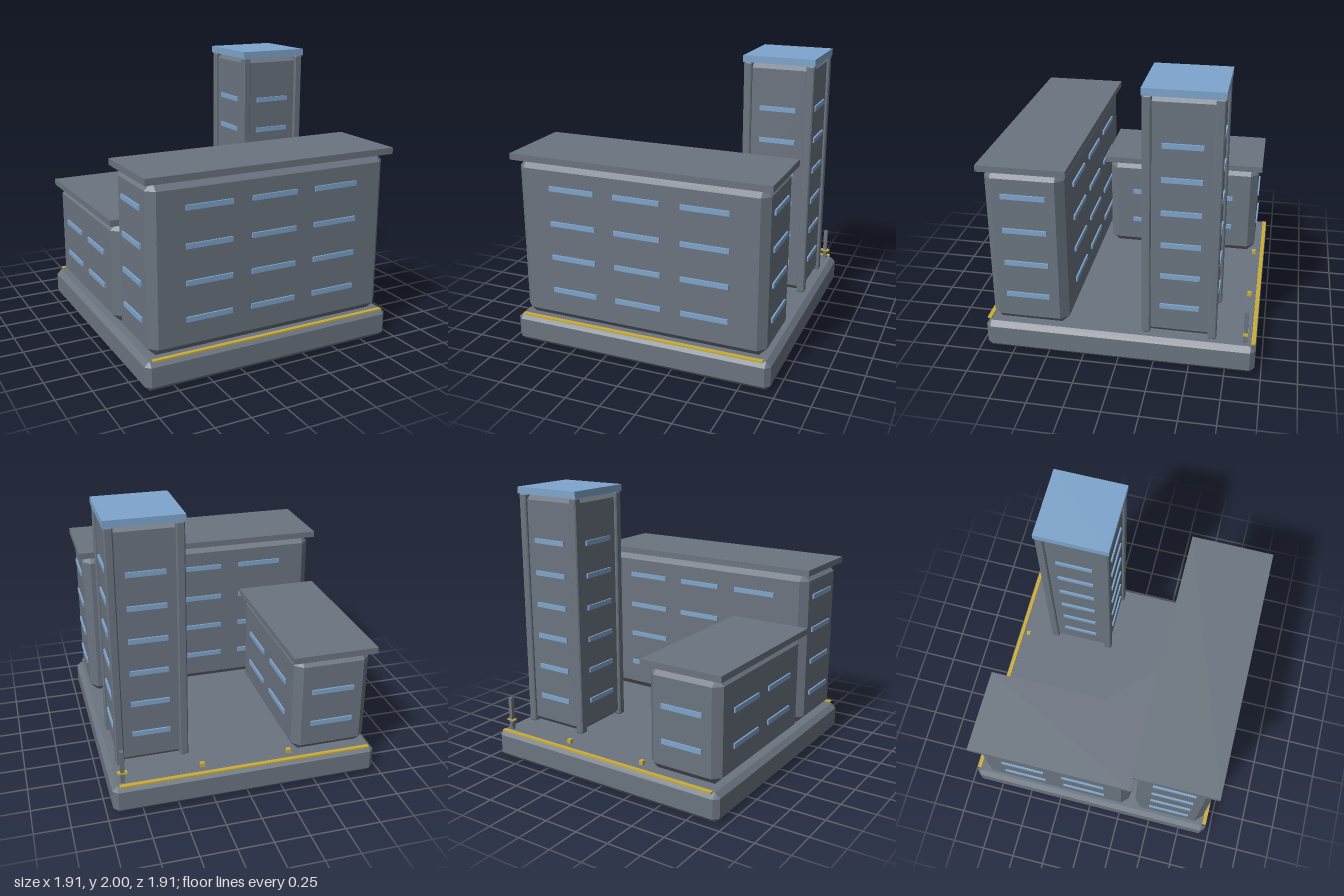
import * as THREE from 'three';
import { ConvexGeometry } from 'three/addons/geometries/ConvexGeometry.js';

const concrete = new THREE.MeshStandardMaterial({ color: 0x6b7480 });
concrete.name = 'grey concrete';
const glass = new THREE.MeshStandardMaterial({ color: 0x7ea5cd });
glass.name = 'blue glass';
const gold = new THREE.MeshStandardMaterial({ color: 0xc8ad3a });
gold.name = 'gold trim';

// Box whose edges are all cut at 45 degrees
function chamferBox(w, h, d, c) {
  const pts = [];
  for (const x of [-1, 1]) for (const y of [-1, 1]) for (const z of [-1, 1]) {
    for (let i = 0; i < 3; i++) {
      pts.push(new THREE.Vector3(
        x * (w / 2 - (i === 0 ? 0 : c)),
        y * (h / 2 - (i === 1 ? 0 : c)),
        z * (d / 2 - (i === 2 ? 0 : c))));
    }
  }
  return new ConvexGeometry(pts);
}

// Adds a block standing on y0; chamfer 0 gives a plain box
function block(parent, name, mat, [w, h, d], [x, y0, z], chamfer = 0) {
  const geo = chamfer ? chamferBox(w, h, d, chamfer) : new THREE.BoxGeometry(w, h, d);
  const mesh = new THREE.Mesh(geo, mat);
  mesh.name = name;
  mesh.position.set(x, y0 + h / 2, z);
  parent.add(mesh);
  return mesh;
}

// Rows of window bands on all four faces of a w x d building
function windows(parent, w, d, rows, colsX, colsZ) {
  const group = new THREE.Group();
  group.name = 'windows';
  const face = (len, cols, place) => {
    for (const y of rows) for (let i = 0; i < cols; i++) for (const side of [-1, 1]) {
      place(len * 0.56 / cols, y - 0.0175, (i - (cols - 1) / 2) * len * 0.8 / cols, side);
    }
  };
  face(w, colsX, (len, y, t, s) => block(group, 'window', glass, [len, 0.035, 0.024], [t, y, s * d / 2]));
  face(d, colsZ, (len, y, t, s) => block(group, 'window', glass, [0.024, 0.035, len], [s * w / 2, y, t]));
  parent.add(group);
}

// Chamfered building with a flat overhanging roof and windows
function building(name, w, d, x, z, top, rows, colsX, colsZ) {
  const g = new THREE.Group();
  g.name = name;
  g.position.set(x, 0, z);
  block(g, 'walls', concrete, [w, top - 0.21, d], [0, 0.21, 0], 0.055);
  block(g, 'roof', concrete, [w + 0.06, 0.045, d + 0.06], [0, top, 0]);
  windows(g, w, d, rows, colsX, colsZ);
  return g;
}

export function createModel() {
  const model = new THREE.Group();
  model.name = 'buildingComplex';

  // Base plate with gold edge strips
  block(model, 'base', concrete, [1.91, 0.21, 1.91], [0, 0, 0], 0.035);
  for (const s of [-1, 1]) {
    block(model, 'edgeStrip', gold, [1.81, 0.012, 0.03], [0, 0.21, s * 0.937]);
  }

  // Long front building and lower wing
  model.add(building('frontBuilding', 1.81, 0.55, 0, 0.635, 1.375, [0.44, 0.69, 0.94, 1.195], 3, 1));
  model.add(building('sideWing', 0.556, 1.18, -0.632, -0.28, 0.945, [0.44, 0.69], 1, 2));

  // Tower with corner columns and a glass cap
  const tower = new THREE.Group();
  tower.name = 'tower';
  tower.position.set(0.625, 0, -0.42);
  block(tower, 'towerWalls', concrete, [0.48, 1.74, 0.48], [0, 0.21, 0], 0.04);
  for (const x of [-0.23, 0.23]) for (const z of [-0.23, 0.23]) {
    block(tower, 'cornerColumn', concrete, [0.06, 1.74, 0.06], [x, 0.21, z], 0.008);
  }
  block(tower, 'towerCap', glass, [0.53, 0.05, 0.53], [0, 1.95, 0]);
  windows(tower, 0.48, 0.48, [0, 1, 2, 3, 4, 5].map((i) => 0.435 + i * 0.2372), 1, 1);
  model.add(tower);

  // Back-edge post with crossbar, and two small lamps
  block(model, 'post', concrete, [0.028, 0.245, 0.028], [0.875, 0.21, -0.88]);
  block(model, 'postCrossbar', gold, [0.068, 0.012, 0.034], [0.876, 0.278, -0.88]);
  for (const x of [-0.316, 0.316]) {
    block(model, 'lamp', gold, [0.03, 0.03, 0.03], [x, 0.23, -0.875]);
  }

  return model;
}
